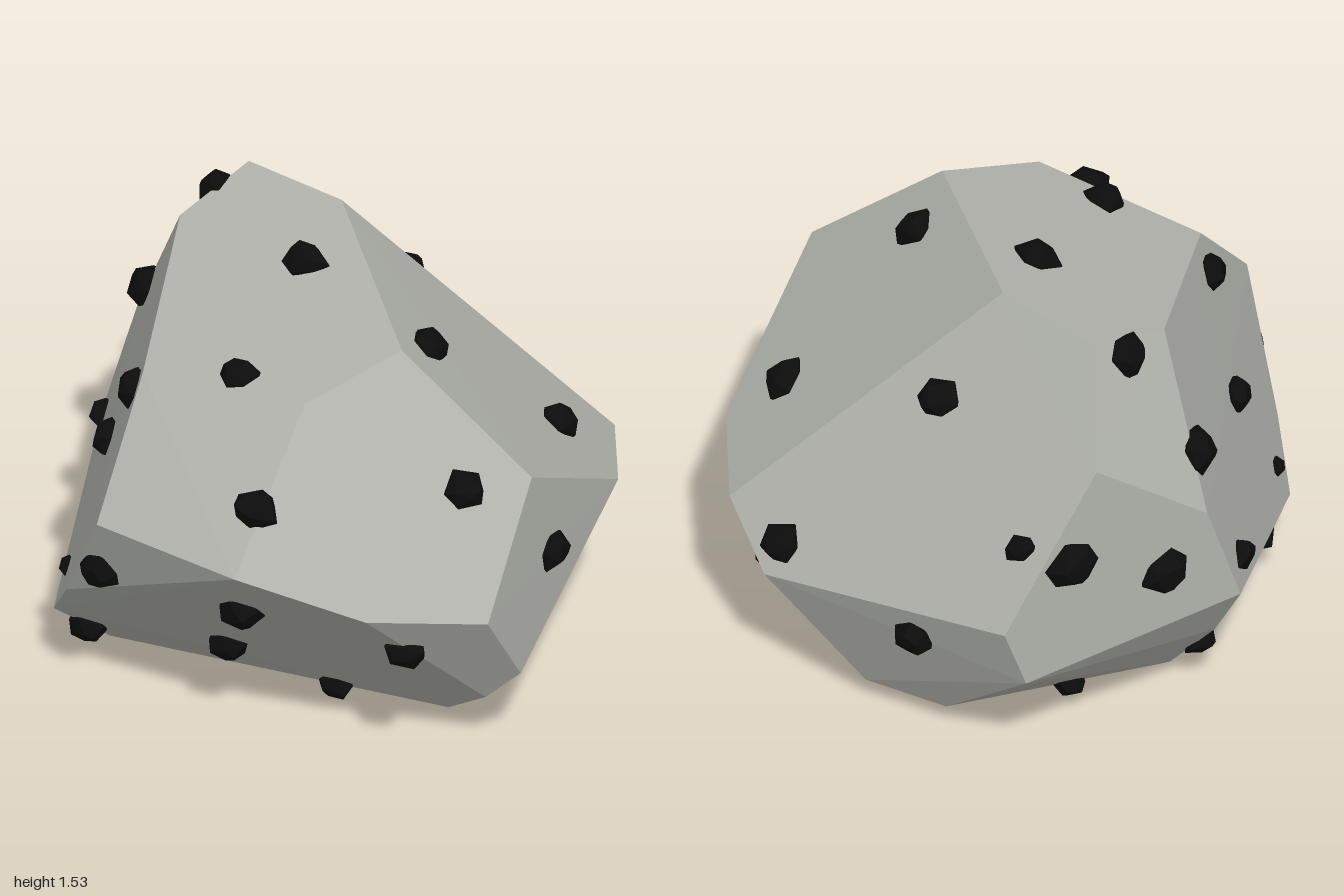
import * as THREE from 'three';
import { ConvexGeometry } from 'three/addons/geometries/ConvexGeometry.js';

// Corners of the faceted boulder
const CORNERS = [
  // crown
  [-0.145, 1.555, -0.37], [-0.555, 1.53, -0.435], [-0.64, 1.45, -0.135],
  [-0.35, 1.31, 0.56], [0.275, 1.385, 0.53], [0.455, 1.48, 0.2],
  // front
  [0.29, 0.945, 1], [-0.295, 0.925, 0.94], [-0.52, 0.49, 0.775], [-0.655, 0.29, 0.64], [0.67, 0.775, 0.77],
  // +x side
  [0.925, 1.09, 0.125], [0.98, 0.72, 0.49], [0.975, 0.4, 0.275], [0.885, 0.725, -0.485], [0.845, 0.265, 0.29],
  // back
  [0.66, 0.675, -0.82], [0.44, 0.513, -0.95], [-0.535, 0.65, -0.98], [-0.7, 1.2, -0.66], [-0.58, 0.43, -0.915],
  // -x side
  [-0.915, 0.89, -0.3], [-0.985, 0.52, -0.2], [-0.85, 0.29, -0.15],
  // base
  [0.64, 0.1, 0.2], [0.124, 0.11, -0.81], [-0.18, 0.1, -0.785], [-0.675, 0.09, -0.155], [-0.57, 0.08, 0.415],
].map((p) => new THREE.Vector3(...p));

// Pebble spots as [u, v, size], dropped onto the boulder from one side
const SPOTS = {
  front: [
    [-0.41, 1.195], [-0.6, 0.845], [-0.905, 0.585, 0.85], [-0.33, 0.69], [0.18, 0.665, 1.1], [0.72, 0.575],
    [-0.035, 0.305, 1.1], [-0.635, 0.435, 0.5], [-0.59, 0.19], [0.26, 0.12, 0.9], [0.26, 1.115, 1.1], [-0.81, 1.06, 1.15],
  ],
  top: [
    [-0.1, -0.07, 1.1], [-0.02, 0.48], [-0.61, -0.33, 1.1], [0.68, -0.43, 1.1], [0.43, 0],
    [-0.02, -0.58, 1.05], [0.41, -0.89, 1.05], [-0.5, -0.82, 0.75], [0.77, 0.31],
  ],
  plusX: [[0.01, 0.74], [-0.22, 0.35, 1.05], [-0.5, 0.235, 0.9], [-0.83, 0.505, 0.85]],
  minusX: [[-0.75, 0.865, 1.25], [-0.45, 0.71, 1.15], [-0.1, 0.19]],
  back: [[-0.15, 0.48, 1.1]],
  bottom: [[-0.35, -0.05, 1.1], [0.19, -0.48, 1.05], [-0.48, -0.48, 0.9]],
};

// Ray start and direction for each side
const RAYS = {
  front: (u, v) => [[u, v, 3], [0, 0, -1]],
  back: (u, v) => [[u, v, -3], [0, 0, 1]],
  top: (u, v) => [[u, 4, v], [0, -1, 0]],
  bottom: (u, v) => [[u, -3, v], [0, 1, 0]],
  plusX: (u, v) => [[3, v, u], [-1, 0, 0]],
  minusX: (u, v) => [[-3, v, u], [1, 0, 0]],
};

function seeded(seed) {
  let s = seed;
  return () => (s = (s * 16807) % 2147483647) / 2147483647;
}

// Irregular chunky pebble, flattened along z
function pebbleGeometry(size, rand) {
  const points = [];
  const n = 6;
  for (const [radius, z] of [[0.062, -0.03], [0.08, 0.008], [0.045, 0.05]]) {
    const turn = rand() * Math.PI;
    for (let i = 0; i < n; i++) {
      const a = turn + ((i + rand() * 0.5) / n) * Math.PI * 2;
      const r = radius * size * (0.78 + rand() * 0.36);
      points.push(new THREE.Vector3(r * Math.cos(a), r * 0.88 * Math.sin(a), (z + (rand() - 0.5) * 0.016) * size));
    }
  }
  return new ConvexGeometry(points);
}

export function createModel() {
  const stone = new THREE.MeshStandardMaterial({ color: 0xb0b2ab });
  stone.name = 'grey stone';
  const black = new THREE.MeshStandardMaterial({ color: 0x0c0c0c });
  black.name = 'black pebble';

  const model = new THREE.Group();
  model.name = 'speckledBoulder';

  const boulder = new THREE.Mesh(new ConvexGeometry(CORNERS), stone);
  boulder.name = 'boulder';
  model.add(boulder);

  // Embedded pebbles, each turned to the face it sits on
  const pebbles = new THREE.Group();
  pebbles.name = 'pebbles';
  model.add(pebbles);
  const rand = seeded(4217);
  const caster = new THREE.Raycaster();
  const zAxis = new THREE.Vector3(0, 0, 1);
  for (const [side, spots] of Object.entries(SPOTS)) {
    for (const [u, v, size = 1] of spots) {
      const [from, dir] = RAYS[side](u, v);
      caster.set(new THREE.Vector3(...from), new THREE.Vector3(...dir));
      const hit = caster.intersectObject(boulder)[0];
      if (!hit) continue;
      const pebble = new THREE.Mesh(pebbleGeometry(size, rand), black);
      pebble.name = 'pebble';
      pebble.position.copy(hit.point);
      pebble.quaternion.setFromUnitVectors(zAxis, hit.face.normal);
      pebbles.add(pebble);
    }
  }
  return model;
}
